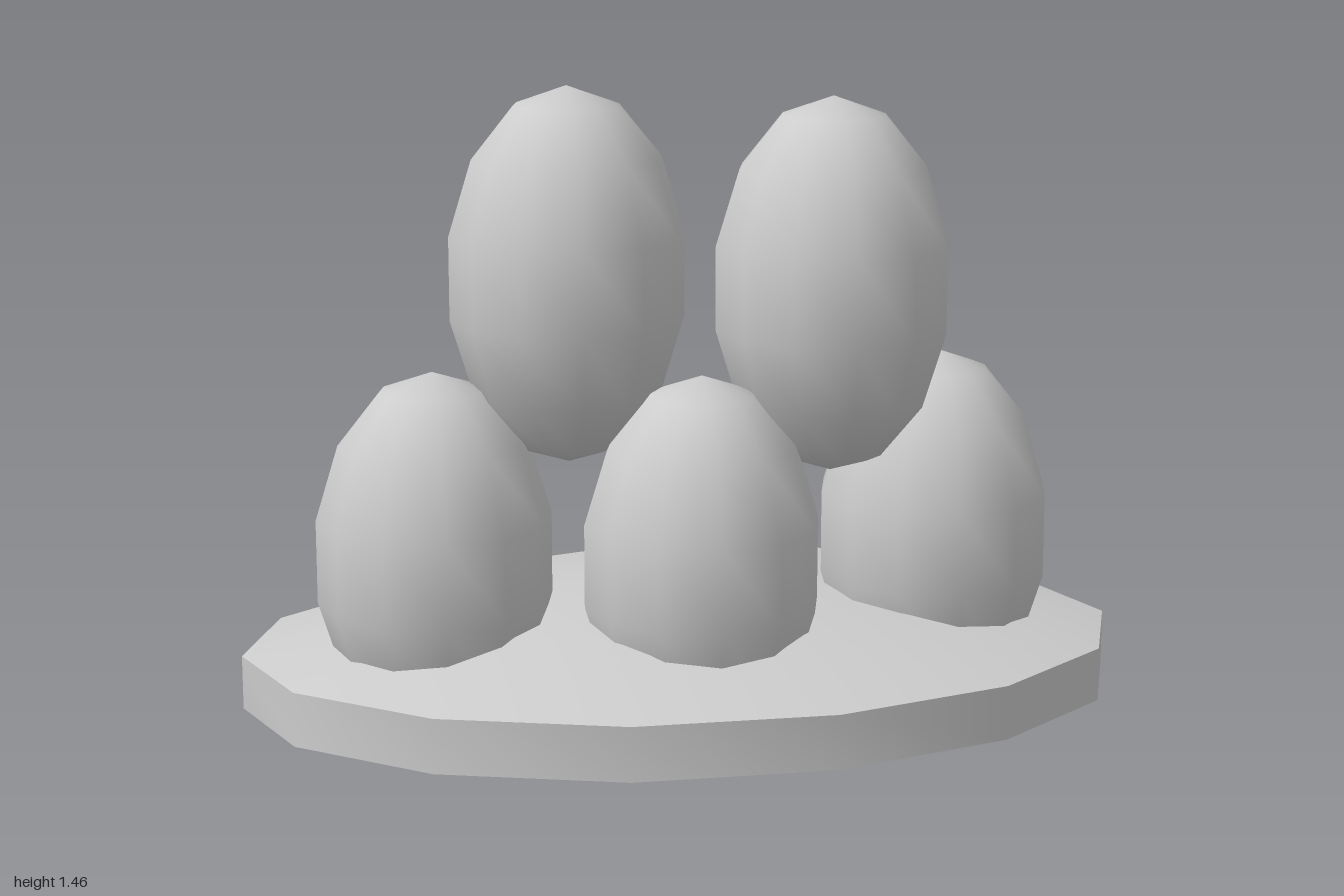
import * as THREE from 'three';
import { toCreasedNormals } from 'three/addons/utils/BufferGeometryUtils.js';

export function createModel() {
  const group = new THREE.Group();
  const stone = new THREE.MeshStandardMaterial({ color: 0xcccccc });
  stone.name = 'lightGrey';

  // Oval base: low dome on top, upright rim, bevelled flat underside
  const profile = [
    [0, 0], [0.62, 0], [1, 0.065], [1, 0.187], [0.62, 0.285], [0, 0.322],
  ].map(([r, y]) => new THREE.Vector2(r, y));
  const baseGeometry = new THREE.LatheGeometry(profile, 14, Math.PI / 2);
  baseGeometry.scale(1, 1, 0.65);
  const base = new THREE.Mesh(toCreasedNormals(baseGeometry, 0.75), stone);
  base.name = 'base';
  group.add(base);

  // Eggs: three sunk into the base, two resting above them
  const eggGeometry = new THREE.SphereGeometry(1, 12, 7);
  eggGeometry.scale(0.267, 0.417, 0.272);
  const eggs = [
    ['lowerRightEgg', -0.573, 0.423, 0.095],
    ['lowerMiddleEgg', 0, 0.423, 0.235],
    ['lowerLeftEgg', 0.573, 0.423, 0.04],
    ['upperRightEgg', -0.27, 1.04, 0.077],
    ['upperLeftEgg', 0.305, 1.015, 0.155],
  ];
  for (const [name, x, y, z] of eggs) {
    const egg = new THREE.Mesh(eggGeometry, stone);
    egg.name = name;
    egg.position.set(x, y, z);
    group.add(egg);
  }
  return group;
}
